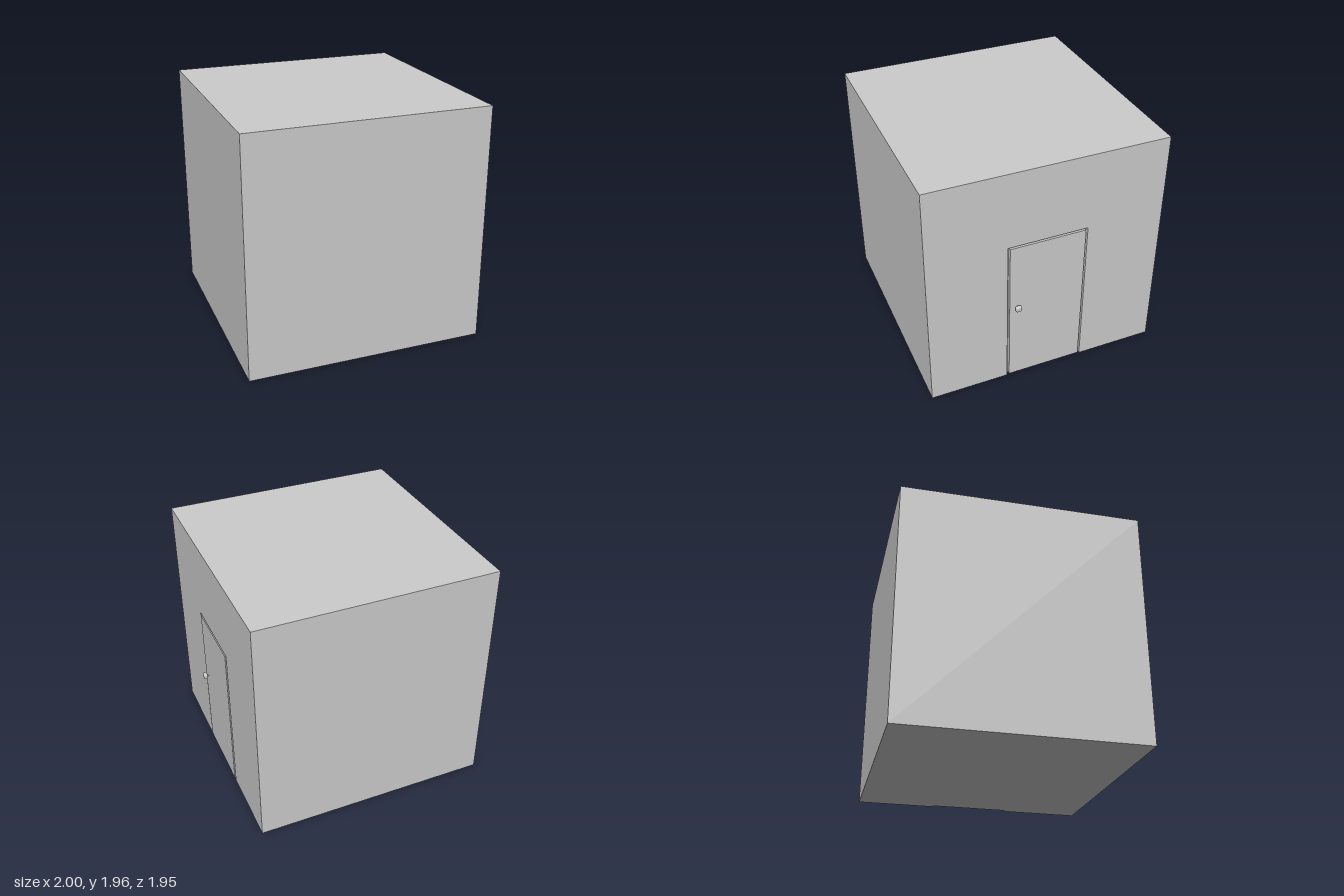
import * as THREE from 'three';
import { RoundedBoxGeometry } from 'three/addons/geometries/RoundedBoxGeometry.js';

const material = new THREE.MeshStandardMaterial({ color: 0xcccccc });

function add(parent, name, geometry, x = 0, y = 0, z = 0) {
  const mesh = new THREE.Mesh(geometry, material);
  mesh.name = name;
  mesh.position.set(x, y, z);
  parent.add(mesh);
  return mesh;
}

export function createModel() {
  const group = new THREE.Group();
  group.name = 'roomWithDoor';

  const height = 1.957, half = 0.977, face = 0.953; // face: outer plane of the door wall
  const recess = 0.03;

  // Solid block behind the door wall
  const depth = face - recess + 1;
  add(group, 'block', new THREE.BoxGeometry(depth, height, half * 2), -1 + depth / 2, height / 2, 0);

  // Door wall with a doorway cut out down to the floor
  const outline = new THREE.Shape([
    [-half, 0], [-0.33, 0], [-0.33, 1.31], [0.33, 1.31],
    [0.33, 0], [half, 0], [half, height], [-half, height],
  ].map(([x, y]) => new THREE.Vector2(x, y)));
  const wall = new THREE.ExtrudeGeometry(outline, { depth: recess, bevelEnabled: false });
  wall.rotateY(Math.PI / 2);
  add(group, 'doorWall', wall, face - recess, 0, 0);

  // Door leaf, standing slightly proud with a narrow gap around it
  const doorFront = 0.957, doorBack = face - recess;
  add(group, 'door', new THREE.BoxGeometry(doorFront - doorBack, 1.284, 0.626),
    (doorFront + doorBack) / 2, 0.013 + 0.642, 0);

  // Knob: flared stem and a rounded square grip
  const knob = new THREE.Group();
  knob.name = 'doorKnob';
  knob.position.set(doorFront, 0.72, 0.25);
  const stem = new THREE.LatheGeometry([
    [0.012, -0.002], [0.009, 0.003], [0.008, 0.014],
  ].map(([r, y]) => new THREE.Vector2(r, y)), 16);
  stem.rotateZ(-Math.PI / 2);
  add(knob, 'stem', stem);
  add(knob, 'grip', new RoundedBoxGeometry(0.032, 0.05, 0.05, 3, 0.013), 0.027, 0, 0);
  group.add(knob);

  return group;
}
